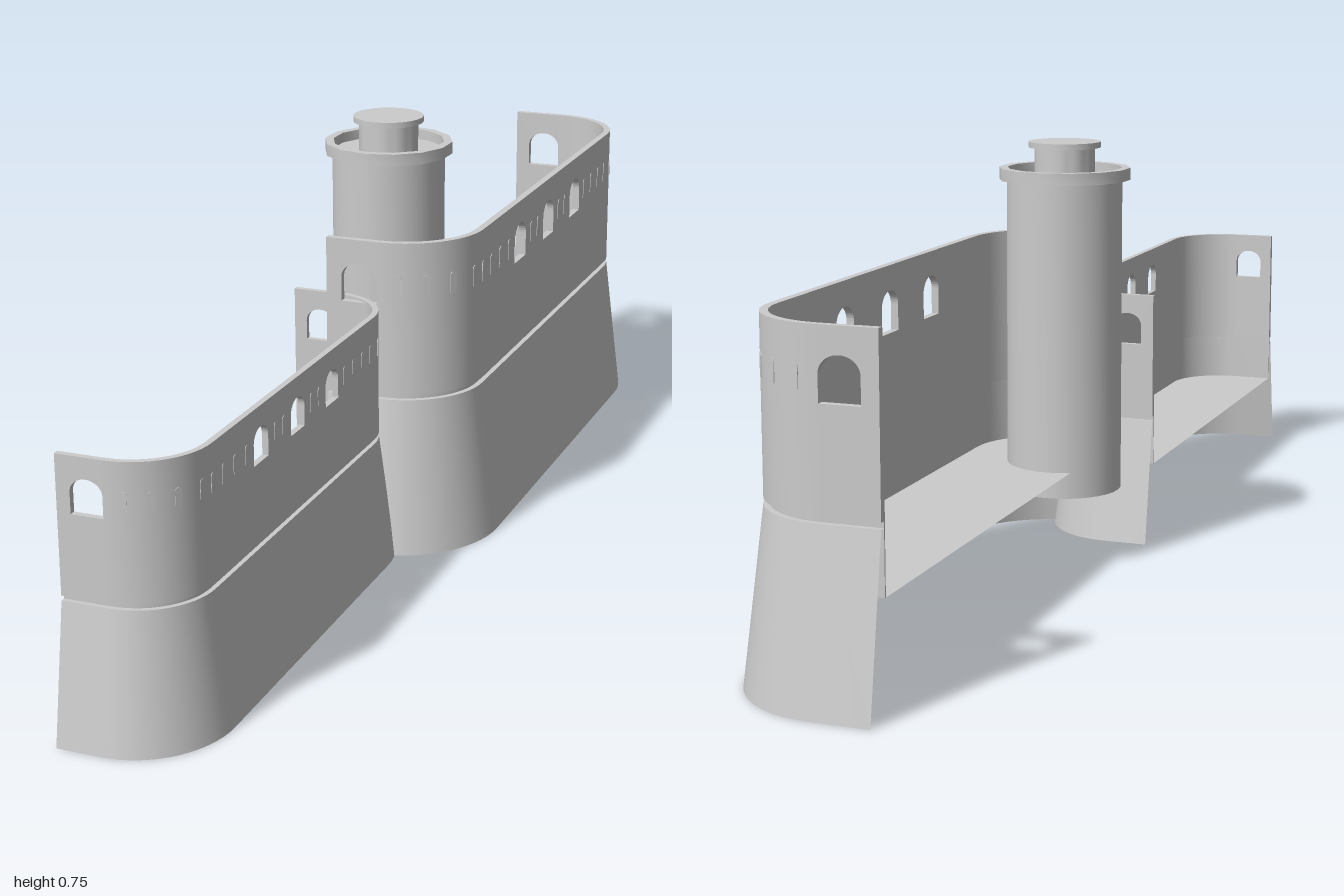
import * as THREE from 'three';
import { toCreasedNormals } from 'three/addons/utils/BufferGeometryUtils.js';

const material = new THREE.MeshStandardMaterial({ color: 0xcccccc, side: THREE.DoubleSide });

// Wall plan: open on the -x side, two rounded corners
const OPEN = -0.1, FACE = 0.14, HALF = 0.541, R = 0.145, THICK = 0.013;
const CX = FACE - R, CZ = HALF - R;
const FLOOR = 0.176, SKIRT_TOP = 0.278, WALL_BASE = 0.288, TOP = 0.565;

function add(parent, geometry, name, x = 0, y = 0, z = 0) {
  const mesh = new THREE.Mesh(geometry, material);
  mesh.name = name;
  mesh.position.set(x, y, z);
  parent.add(mesh);
  return mesh;
}

// Plan points with outward normals [x, z, nx, nz]
function corner(side, steps = 14) {
  const pts = [];
  for (let i = 0; i <= steps; i++) {
    const a = (i / steps) * Math.PI / 2;
    const nx = Math.sin(a), nz = side * Math.cos(a);
    pts.push([CX + R * nx, side * CZ + R * nz, nx, nz]);
  }
  return side > 0 ? pts : pts.reverse();
}
const plan = [[OPEN, HALF, 0, 1], ...corner(1), ...corner(-1), [OPEN, -HALF, 0, -1]];

// Sweep a section of [outward offset, y] along a plan; closed sections get end caps
function sweep(path, section, closed, endStretch = 1) {
  const pos = [], idx = [], n = section.length;
  for (const [x, z, nx, nz] of path)
    for (const [o, y] of section) pos.push(x + nx * o, y, z + nz * o * endStretch);
  for (let i = 0; i < path.length - 1; i++)
    for (let j = 0; j < (closed ? n : n - 1); j++) {
      const a = i * n + j, b = i * n + (j + 1) % n;
      idx.push(a, a + n, b, b, a + n, b + n);
    }
  if (closed) {
    const e = (path.length - 1) * n;
    idx.push(0, 1, 2, 0, 2, 3, e, e + 2, e + 1, e, e + 3, e + 2);
  }
  const g = new THREE.BufferGeometry();
  g.setAttribute('position', new THREE.Float32BufferAttribute(pos, 3));
  g.setIndex(idx);
  return toCreasedNormals(g, 0.5);
}

// Opening with a rounded head
function arch(path, cx, w, y0, y1, rise) {
  path.moveTo(cx - w / 2, y0);
  path.lineTo(cx + w / 2, y0);
  path.lineTo(cx + w / 2, y1 - rise);
  path.absellipse(cx, y1 - rise, w / 2, rise, 0, Math.PI, false, 0);
  path.closePath();
  return path;
}

// Straight wall panel pierced by windows
function panel(u0, u1, windows) {
  const s = new THREE.Shape();
  s.moveTo(u0, WALL_BASE);
  s.lineTo(u1, WALL_BASE);
  s.lineTo(u1, TOP);
  s.lineTo(u0, TOP);
  s.closePath();
  for (const c of windows) s.holes.push(arch(new THREE.Path(), c, 0.066, 0.452, 0.523, 0.028));
  return new THREE.ExtrudeGeometry(s, { depth: THICK, bevelEnabled: false, curveSegments: 10 });
}

function bastion(name) {
  const g = new THREE.Group();
  g.name = name;
  // Sloping base with a ledge running into the groove
  add(g, sweep(plan, [[0.033, 0], [0, SKIRT_TOP], [-0.01, SKIRT_TOP]], false, 1.4), 'slopingBase');
  // Inner lining that forms the back of the groove
  add(g, sweep(plan, [[-0.01, FLOOR], [-0.01, WALL_BASE], [-THICK, WALL_BASE], [-THICK, FLOOR]], true), 'lining');
  // Upper wall: two curved corners and three pierced panels
  const wall = [[0, WALL_BASE], [0, TOP], [-THICK, TOP], [-THICK, WALL_BASE]];
  for (const side of [1, -1]) {
    add(g, sweep(corner(side), wall, true), 'curvedWall');
    add(g, panel(OPEN, CX, [-0.039]), 'endWall', 0, 0, side > 0 ? HALF - THICK : -HALF);
  }
  const long = add(g, panel(-CZ, CZ, [-0.183, -0.009, 0.165].map(v => -v - 0.018)), 'longWall', FACE - THICK);
  long.rotation.y = Math.PI / 2;
  // Floor
  const outline = plan.map(([x, z, nx, nz]) => new THREE.Vector2(x - nx * THICK, -(z - nz * THICK)));
  const floor = new THREE.ShapeGeometry(new THREE.Shape(outline));
  floor.rotateX(-Math.PI / 2);
  add(g, floor, 'floor', 0, FLOOR, 0);
  // Narrow blind slits on the corners and along the face
  const slit = new THREE.ExtrudeGeometry(arch(new THREE.Shape(), 0, 0.013, 0.47, 0.508, 0.007),
    { depth: 0.002, bevelEnabled: false, curveSegments: 4 });
  const place = (x, z, angle) => {
    const m = add(g, slit, 'slit', x - 0.001 * Math.sin(angle), 0, z - 0.001 * Math.cos(angle));
    m.rotation.y = angle;
  };
  for (const side of [1, -1]) {
    for (const deg of [15, 35, 55, 77]) {
      const a = THREE.MathUtils.degToRad(deg);
      const nx = Math.sin(a), nz = side * Math.cos(a);
      place(CX + R * nx, side * CZ + R * nz, Math.atan2(nx, nz));
    }
    for (const d of [0.067, 0.107, 0.24, 0.29, 0.34, 0.385]) place(FACE, side * d + 0.009, Math.PI / 2);
  }
  return g;
}

// Round tower from stacked turned parts
function tower() {
  const g = new THREE.Group();
  g.name = 'tower';
  const turned = (name, sides, pts) => {
    const geo = new THREE.LatheGeometry(pts.map(p => new THREE.Vector2(...p)), sides);
    add(g, toCreasedNormals(geo, 0.6), name);
  };
  turned('towerBody', 32, [[0, 0.13], [0.101, 0.13], [0.101, 0.682], [0, 0.682]]);
  turned('parapet', 14, [[0.1, 0.679], [0.115, 0.679], [0.115, 0.7], [0.1, 0.7], [0.1, 0.679]]);
  turned('lanternStem', 32, [[0.053, 0.68], [0.053, 0.735]]);
  turned('lanternCap', 32, [[0, 0.735], [0.063, 0.735], [0.063, 0.745], [0, 0.745]]);
  return g;
}

export function createModel() {
  const model = new THREE.Group();
  model.name = 'fortress';
  const upper = bastion('upperBastion');
  upper.position.z = -0.413;
  const lower = bastion('lowerBastion');
  lower.scale.setScalar(0.806);
  lower.position.set(-0.0925, 0, 0.527);
  const keep = tower();
  keep.position.set(-0.057, 0, -0.063);
  model.add(upper, lower, keep);
  return model;
}
